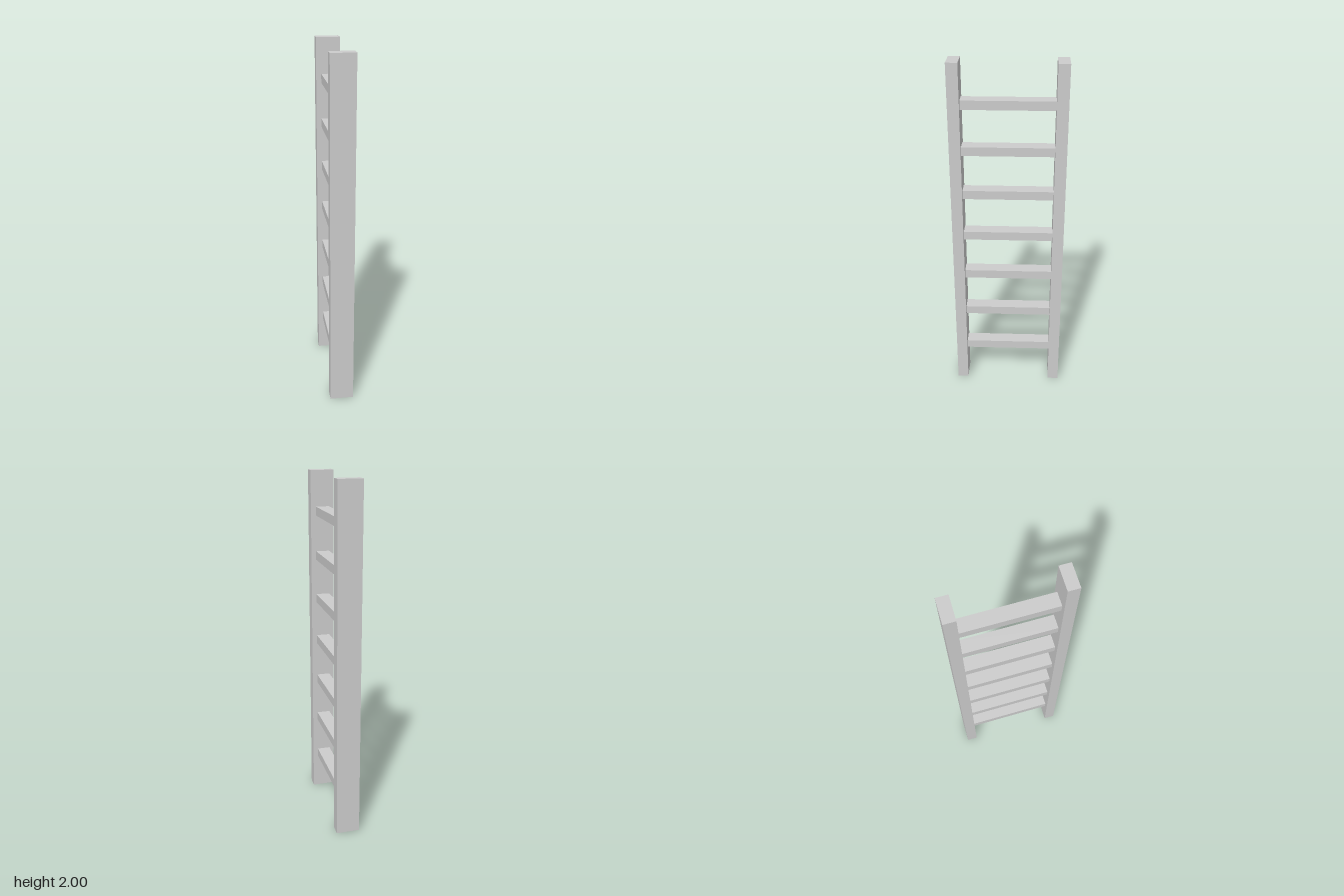
import * as THREE from 'three';

export function createModel() {
  const group = new THREE.Group();
  const material = new THREE.MeshStandardMaterial({ color: 0xcccccc, flatShading: true });

  const addBox = (name, width, height, depth, y, z) => {
    const mesh = new THREE.Mesh(new THREE.BoxGeometry(width, height, depth), material);
    mesh.name = name;
    mesh.position.set(0, y, z);
    group.add(mesh);
  };

  // Two upright side rails
  const railDepth = 0.063;
  const railZ = 0.2835;
  addBox('frontRail', 0.134, 2, railDepth, 1, railZ);
  addBox('backRail', 0.134, 2, railDepth, 1, -railZ);

  // Seven evenly spaced rungs, meeting the inner faces of the rails
  const rungLength = 2 * railZ - railDepth;
  for (let i = 0; i < 7; i++) {
    addBox(`rung${i + 1}`, 0.077, 0.05, rungLength, 0.235 + i * 0.2563, 0);
  }
  return group;
}
